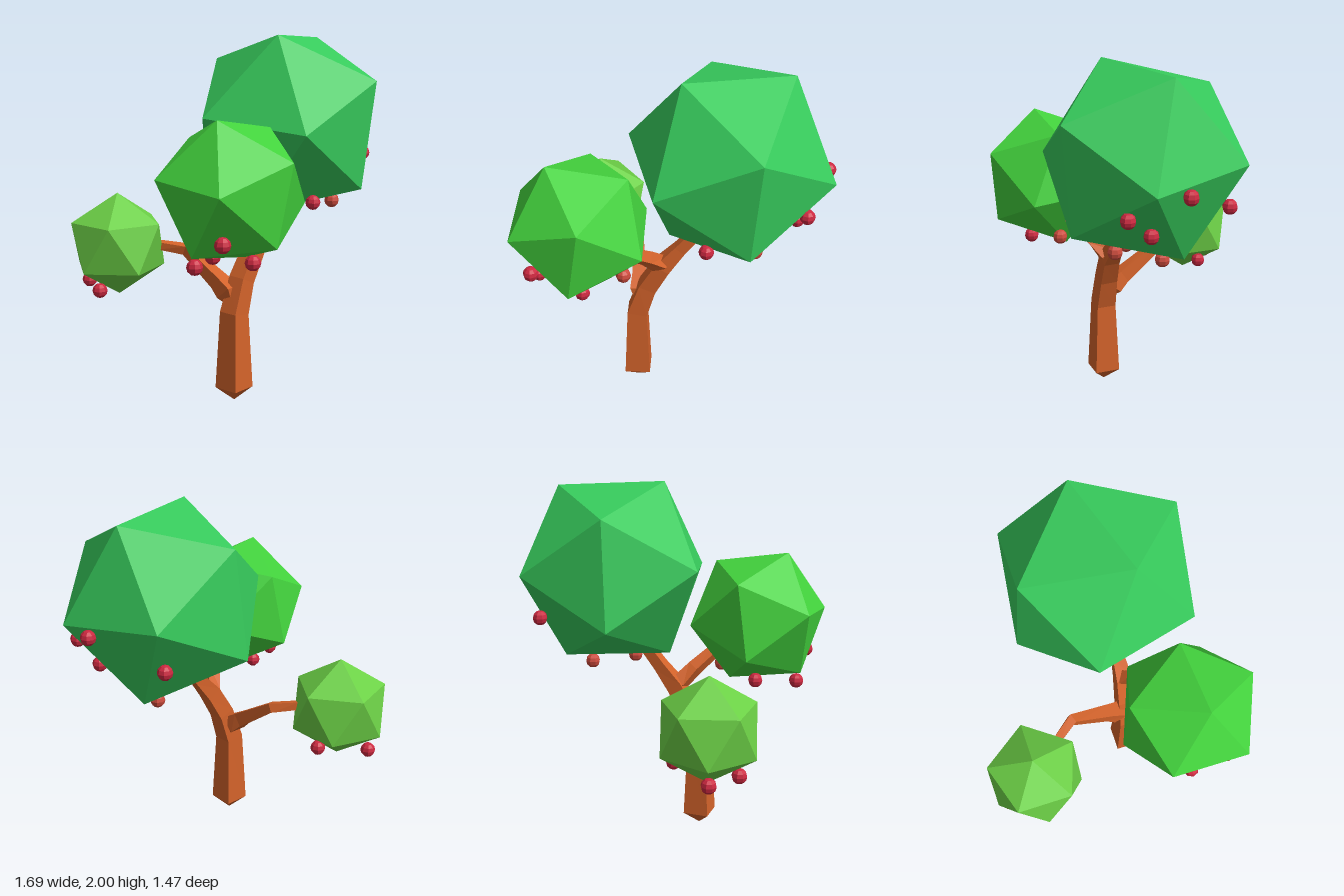
import * as THREE from 'three';

const V = (x, y, z) => new THREE.Vector3(x, y, z);
const flat = (color) => new THREE.MeshStandardMaterial({ color, flatShading: true });

// Four-sided limb through stations [x, y, z, halfWidth]; both ends close to a point
function limbGeometry(stations) {
  const pts = stations.map(([x, y, z]) => V(x, y, z));
  const n = pts.length;
  const rings = pts.map((p, i) => {
    const t = pts[Math.min(i + 1, n - 1)].clone().sub(p).normalize();
    t.add(p.clone().sub(pts[Math.max(i - 1, 0)]).normalize()).normalize();
    const side = V(1, 0, 0).addScaledVector(t, -t.x).normalize();
    const other = side.clone().cross(t).normalize();
    const h = stations[i][3];
    return [[1, 1], [-1, 1], [-1, -1], [1, -1]].map(([a, b]) =>
      p.clone().addScaledVector(side, a * h).addScaledVector(other, b * h));
  });
  const tris = [];
  for (let i = 0; i < n - 1; i++) {
    for (let k = 0; k < 4; k++) {
      const a = rings[i][k], b = rings[i][(k + 1) % 4];
      const c = rings[i + 1][(k + 1) % 4], d = rings[i + 1][k];
      tris.push(a, c, b, a, d, c);
    }
  }
  const geo = new THREE.BufferGeometry().setFromPoints(tris);
  geo.computeVertexNormals();
  return geo;
}

// Icosahedron turned so that two neighbouring corners point along a and b
function crownGeometry(radius, a, b) {
  const z = a.clone().add(b).normalize();
  const y = a.clone().sub(b);
  y.addScaledVector(z, -y.dot(z)).normalize();
  const x = y.clone().cross(z);
  return new THREE.IcosahedronGeometry(radius, 0)
    .applyMatrix4(new THREE.Matrix4().makeBasis(x, y, z));
}

export function createModel() {
  const tree = new THREE.Group();
  tree.name = 'fruitTree';
  const add = (name, geo, mat, pos) => {
    const mesh = new THREE.Mesh(geo, mat);
    mesh.name = name;
    if (pos) mesh.position.copy(pos);
    tree.add(mesh);
  };

  // Trunk and branches
  const bark = flat(0xd2622a);
  bark.side = THREE.DoubleSide;
  const limbs = {
    trunk: [[-0.23, 0, 0.15, 0], [-0.23, 0.075, 0.15, 0.073], [-0.225, 0.5, 0.148, 0.056],
      [-0.165, 0.68, 0.15, 0.05], [-0.08, 0.83, 0.16, 0.046], [0.02, 0.95, 0.157, 0.034],
      [0.12, 1.07, 0.155, 0.03], [0.15, 1.1, 0.155, 0]],
    frontBranch: [[-0.08, 0.8, 0.16, 0], [-0.09, 0.85, 0.17, 0.042], [-0.16, 0.93, 0.23, 0.034],
      [-0.27, 1.04, 0.34, 0.028], [-0.29, 1.06, 0.36, 0]],
    backBranch: [[-0.222, 0.52, 0.14, 0], [-0.215, 0.61, 0.1, 0.052], [-0.22, 0.66, 0.03, 0.04],
      [-0.24, 0.81, -0.2, 0.027], [-0.34, 0.835, -0.32, 0.022], [-0.36, 0.84, -0.34, 0]],
  };
  for (const [name, stations] of Object.entries(limbs)) add(name, limbGeometry(stations), bark);

  // Leaf crowns
  add('largeCrown', crownGeometry(0.573, V(-0.255, 0.495, 0.13), V(0.325, 0.475, -0.04)),
    flat(0x37cb5c), V(0.285, 1.505, 0.107));
  add('mediumCrown', crownGeometry(0.404, V(-0.153, 0.37, 0.04), V(0.267, 0.31, 0.03)),
    flat(0x43d33d), V(-0.497, 1.24, 0.37));
  add('smallCrown', crownGeometry(0.29, V(0, 1, 0), V(2, 1, 0).normalize()),
    flat(0x6cd046), V(-0.487, 0.842, -0.49));

  // Fruit hanging below each crown
  const fruitGeo = new THREE.SphereGeometry(0.042, 8, 6);
  const red = flat(0xcc2840), orange = flat(0xcc4a3c);
  const redFruit = [
    [0.17, 1.09, 0.38], [0.65, 1.2, 0.21], [0.69, 1.31, 0.35], [0.81, 1.43, 0.07],
    [0.58, 1.28, -0.26], [-0.745, 1.03, 0.53], [-0.74, 0.89, 0.34], [-0.485, 0.89, 0.5],
    [-0.52, 0.89, 0.26], [-0.305, 0.65, -0.51], [-0.55, 0.615, -0.67], [-0.65, 0.605, -0.47],
  ];
  const orangeFruit = [[0.43, 1.06, 0.32], [0.18, 1, 0.16], [0.4, 0.97, 0.04], [-0.275, 0.93, 0.39]];
  redFruit.forEach((p, i) => add(`redFruit${i + 1}`, fruitGeo, red, V(...p)));
  orangeFruit.forEach((p, i) => add(`orangeFruit${i + 1}`, fruitGeo, orange, V(...p)));

  return tree;
}
